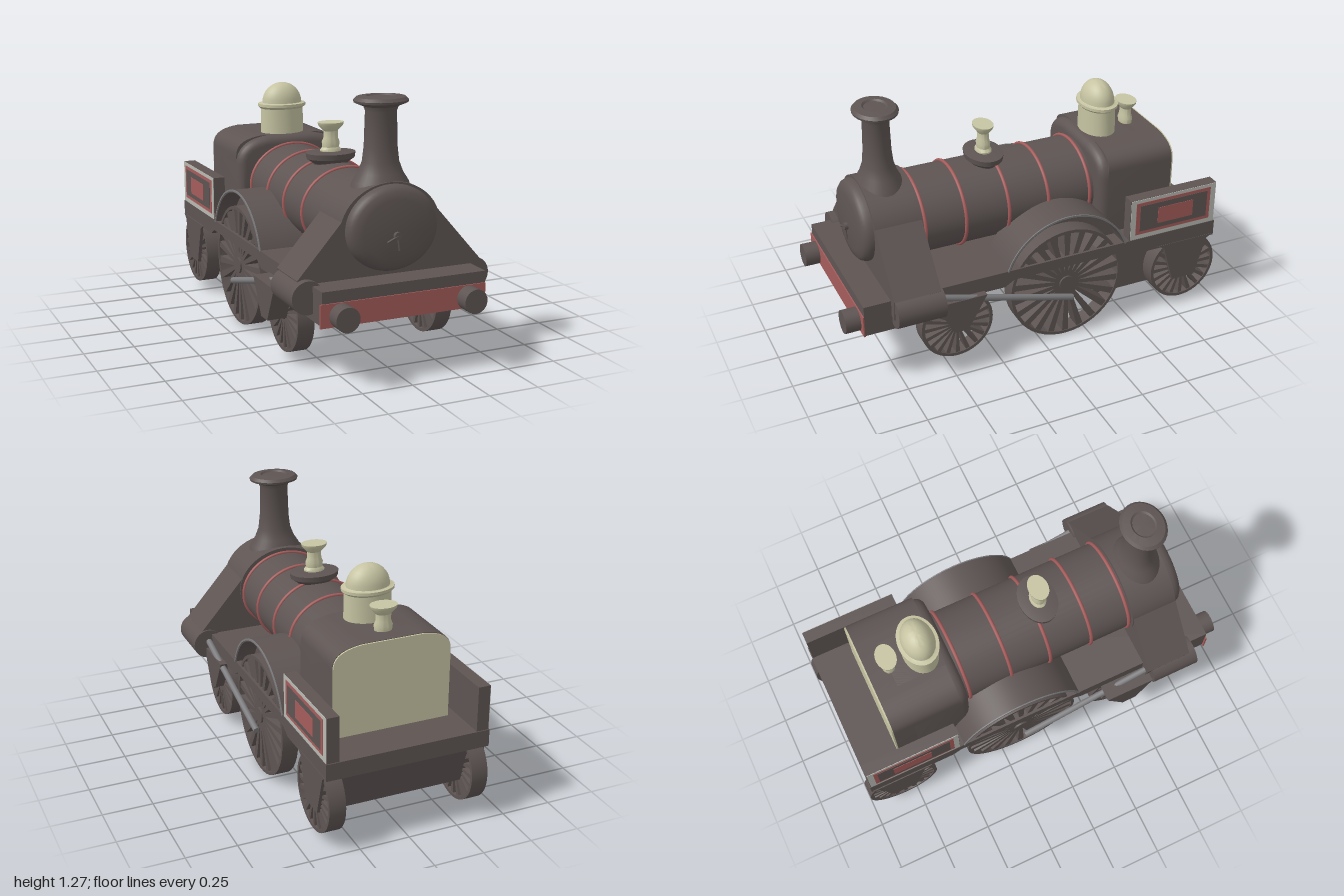
import * as THREE from 'three';
import { mergeGeometries, toCreasedNormals } from 'three/addons/utils/BufferGeometryUtils.js';

const material = (name, color) => new THREE.MeshStandardMaterial({ name, color });

export function createModel() {
  const model = new THREE.Group();
  model.name = 'steamLocomotive';
  const dark = material('darkIron', 0x5e5553);
  const red = material('dullRed', 0xa55c5b);
  const sage = material('paleBrass', 0xc6c4a2);
  const pale = material('paleGrey', 0xb9b9b3);
  const steel = material('steelGrey', 0x7c7b7d);
  const CX = -0.01;

  function add(name, geometry, mat, x = 0, y = 0, z = 0) {
    const mesh = new THREE.Mesh(geometry, mat);
    mesh.name = name;
    mesh.position.set(x, y, z);
    model.add(mesh);
    return mesh;
  }
  // box given by its limits on each axis
  function box(name, mat, x0, x1, y0, y1, z0, z1) {
    return add(name, new THREE.BoxGeometry(x1 - x0, y1 - y0, z1 - z0), mat,
      (x0 + x1) / 2, (y0 + y1) / 2, (z0 + z1) / 2);
  }
  const shapeOf = (pts) => new THREE.Shape(pts.map(([a, b]) => new THREE.Vector2(a, b)));
  // side profile in (z, y) swept across x
  function sweepX(name, mat, shape, x0, x1) {
    const g = new THREE.ExtrudeGeometry(shape, { depth: x1 - x0, bevelEnabled: false, curveSegments: 24 });
    g.rotateY(-Math.PI / 2);
    return add(name, toCreasedNormals(g, 0.5), mat, x1);
  }
  // turned part, widened across x
  function turned(name, mat, pts, z, wide) {
    const g = new THREE.LatheGeometry(pts.map(([r, y]) => new THREE.Vector2(r, y)), 32);
    g.scale(wide, 1, 1);
    return add(name, toCreasedNormals(g, 0.6), mat, CX, 0, z);
  }
  // turned part lying along z, oval in section; points are (radius, z)
  function barrel(name, mat, pts, y, rx, ry) {
    const g = new THREE.LatheGeometry(pts.map(([r, z]) => new THREE.Vector2(r, z)), 48);
    g.rotateX(Math.PI / 2);
    g.scale(rx, ry, 1);
    return add(name, toCreasedNormals(g, 0.6), mat, CX, y);
  }
  function rod(name, mat, a, b, r, sides = 12) {
    const from = new THREE.Vector3(...a), to = new THREE.Vector3(...b);
    const mesh = add(name, new THREE.CylinderGeometry(r, r, from.distanceTo(to), sides), mat);
    mesh.position.copy(from).lerp(to, 0.5);
    mesh.quaternion.setFromUnitVectors(new THREE.Vector3(0, 1, 0), to.sub(from).normalize());
    return mesh;
  }

  // running frame and front buffer beam
  sweepX('frame', dark, shapeOf([[0.92, 0.465], [0.92, 0.305], [0.66, 0.305], [0.58, 0.38], [0.2, 0.38],
    [0.15, 0.41], [-0.48, 0.41], [-0.53, 0.38], [-0.98, 0.38], [-0.98, 0.465]]), -0.41, 0.41);
  box('bufferBeamFace', red, -0.42, 0.41, 0.3, 0.41, 0.918, 0.926);
  for (const s of [-1, 1]) rod('buffer', dark, [s * 0.32, 0.35, 0.9], [s * 0.32, 0.35, 1], 0.058, 24);

  // axle guards and ash pan below the frame
  sweepX('frontAxleGuard', dark, shapeOf([[0.57, 0.39], [0.485, 0.215], [0.41, 0.215], [0.31, 0.39]]), -0.495, 0.445);
  sweepX('rearAxleGuard', dark, shapeOf([[-0.65, 0.39], [-0.69, 0.37], [-0.75, 0.165], [-0.88, 0.165],
    [-0.94, 0.37], [-0.97, 0.39]]), -0.415, 0.412);
  box('ashPan', dark, -0.275, 0.265, 0.088, 0.42, -0.75, -0.365);

  // spoked wheels
  function wheelGeometry(r, spokes, hub) {
    const width = 0.082, rimIn = r - 0.016;
    const rim = new THREE.LatheGeometry([[rimIn, -width / 2], [r, -width / 2], [r, width / 2],
      [rimIn, width / 2], [rimIn, -width / 2]].map((p) => new THREE.Vector2(...p)), 48);
    const centre = new THREE.CylinderGeometry(hub, hub, width + 0.01, 20);
    const parts = [rim, centre].map((g) => toCreasedNormals(g.rotateZ(Math.PI / 2), 0.6));
    for (let i = 0; i < spokes; i++) {
      const g = new THREE.BoxGeometry(width * 0.9, rimIn - hub + 0.012, 1);
      const p = g.attributes.position;
      for (let k = 0; k < p.count; k++) p.setZ(k, p.getZ(k) * r * (p.getY(k) > 0 ? 0.115 : 0.055));
      g.translate(0, (rimIn + hub) / 2, 0);
      g.rotateX((i / spokes) * Math.PI * 2);
      parts.push(g.toNonIndexed());
    }
    return mergeGeometries(parts);
  }
  const axles = [['leading', 0.45, 0.23, 0.186, 20, 0.03], ['driving', -0.14, 0.305, 0.304, 22, 0.04],
    ['trailing', -0.812, 0.23, 0.186, 20, 0.03]];
  for (const [name, z, y, r, n, hub] of axles) {
    const g = wheelGeometry(r, n, hub);
    for (const s of [-1, 1]) add(name + 'Wheel', g, dark, s * 0.361, y, z);
    rod(name + 'Axle', dark, [-0.36, y, z], [0.36, y, z], 0.025);
  }

  // open-sided splashers over the driving wheels
  const a0 = 0.33, arch = new THREE.Shape();
  arch.absarc(-0.14, 0.35, 0.342, a0, Math.PI - a0, false);
  arch.absarc(-0.14, 0.35, 0.33, Math.PI - a0, a0, true);
  const segment = new THREE.Shape();
  segment.absarc(-0.14, 0.35, 0.336, a0, Math.PI - a0, false);
  const edge = new THREE.Shape();
  edge.absarc(-0.14, 0.35, 0.344, a0, Math.PI - a0, false);
  edge.absarc(-0.14, 0.35, 0.335, Math.PI - a0, a0, true);
  for (const s of [-1, 1]) {
    const span = (a, b) => (s > 0 ? [a, b] : [-b, -a]);
    sweepX('splasherRoof', dark, arch, ...span(0.18, 0.408));
    sweepX('splasherBack', dark, segment, ...span(0.18, 0.31));
    sweepX('splasherEdge', steel, edge, ...span(0.406, 0.412));
  }

  // boiler with its bands
  barrel('boiler', dark, [[0, -0.4], [1, -0.4], [1, 0.56], [0, 0.56]], 0.667, 0.235, 0.202);
  for (const z of [0.53, 0.32, 0.093, -0.12, -0.347]) {
    const band = add('boilerBand', new THREE.TorusGeometry(0.237, 0.009, 8, 48), red, CX, 0.667, z);
    band.scale.set(1, 0.868, 1);
  }

  // smokebox, door and handle
  barrel('smokebox', dark, [[0, 0.545], [1, 0.545], [1, 0.785], [0, 0.785]], 0.68, 0.252, 0.212);
  barrel('smokeboxDoor', dark, [[1, 0.77], [1, 0.8], [0.96, 0.82], [0.88, 0.835], [0.7, 0.842], [0, 0.848]],
    0.684, 0.228, 0.2);
  rod('doorHandleHub', dark, [CX, 0.66, 0.84], [CX, 0.66, 0.865], 0.018);
  rod('doorHandle', dark, [CX, 0.66, 0.857], [0, 0.59, 0.857], 0.005, 6);
  rod('doorHandle', dark, [CX, 0.66, 0.862], [-0.065, 0.635, 0.862], 0.005, 6);

  // sloping saddle and the cylinders at its feet
  const saddle = new THREE.ExtrudeGeometry(shapeOf([[-0.45, 0.38], [0.45, 0.38], [0.46, 0.485], [0.205, 0.775],
    [-0.215, 0.775], [-0.47, 0.485]]), { depth: 0.235, bevelEnabled: false });
  add('smokeboxSaddle', saddle, dark, 0, 0, 0.55);
  rod('steamCylinder', dark, [0.432, 0.412, 0.54], [0.432, 0.412, 0.782], 0.078, 32);
  rod('steamCylinder', dark, [-0.432, 0.412, 0.57], [-0.432, 0.412, 0.82], 0.078, 32);
  rod('connectingRod', steel, [0.428, 0.43, 0.56], [0.428, 0.232, -0.16], 0.016);
  rod('connectingRod', steel, [-0.435, 0.43, 0.58], [-0.435, 0.232, -0.13], 0.016);

  // chimney
  turned('chimney', dark, [[0.125, 0.84], [0.112, 0.88], [0.09, 0.92], [0.074, 0.97], [0.067, 1.04], [0.063, 1.2],
    [0.07, 1.222], [0.108, 1.24], [0.11, 1.25], [0.098, 1.264], [0.06, 1.27], [0.052, 1.262], [0, 1.262]], 0.675, 1.18);

  // boiler-top valve on its dish
  turned('valveDish', dark, [[0.06, 0.82], [0.066, 0.86], [0.092, 0.885], [0.095, 0.912], [0.06, 0.918], [0, 0.918]], 0.13, 1.35);
  const flare = [[0.04, 0], [0.04, 0.012], [0.032, 0.025], [0.034, 0.05], [0.028, 0.07], [0.027, 0.105],
    [0.048, 0.135], [0.05, 0.148], [0, 0.148]];
  turned('valveStem', sage, flare.map(([r, y]) => [r, y + 0.913]), 0.13, 1.35);
  turned('whistle', sage, flare.map(([r, y]) => [r, y + 0.887]), -0.665, 1.35);

  // steam dome
  const cap = [];
  for (let i = 0; i <= 8; i++) {
    const t = (i / 8) * Math.PI / 2;
    cap.push([0.08 * Math.cos(t), 1.07 + 0.105 * Math.sin(t)]);
  }
  turned('steamDome', sage, [[0.088, 0.88], [0.086, 1.04], [0.097, 1.052], [0.097, 1.066], [0.082, 1.068], ...cap], -0.498, 1.34);

  // firebox casing: rounded shoulders, softened front end, pale back plate
  function casing(inset) {
    const w = 0.297 - inset, top = 0.912 - inset, s = new THREE.Shape();
    s.moveTo(-w, 0.44);
    s.lineTo(w, 0.44);
    s.lineTo(w, top - 0.1);
    s.bezierCurveTo(w, top - 0.03, w - 0.06, top - 0.01, w - 0.14, top);
    s.lineTo(-w + 0.14, top);
    s.bezierCurveTo(-w + 0.06, top - 0.01, -w, top - 0.03, -w, top - 0.1);
    return s;
  }
  const front = new THREE.ExtrudeGeometry(casing(0.04), { depth: 0.25, bevelThickness: 0.045, bevelSize: 0.04,
    bevelSegments: 5, curveSegments: 10 });
  add('fireboxFront', toCreasedNormals(front, 0.6), dark, CX + 0.004, 0, -0.665);
  const rear = new THREE.ExtrudeGeometry(casing(0), { depth: 0.355, bevelEnabled: false, curveSegments: 10 });
  add('firebox', toCreasedNormals(rear, 0.6), dark, CX + 0.004, 0, -0.772);
  const plate = new THREE.ExtrudeGeometry(casing(0.002), { depth: 0.008, bevelEnabled: false, curveSegments: 10 });
  add('fireboxBackPlate', plate, sage, CX + 0.004, 0, -0.78);

  // rear side bunkers with painted panels
  for (const s of [-1, 1]) {
    const side = (name, mat, x0, x1, ...rest) => box(name, mat, Math.min(s * x0, s * x1), Math.max(s * x0, s * x1), ...rest);
    side('sideBunker', dark, 0.345, 0.406, 0.46, 0.69, -0.975, -0.485);
    side('panelBorder', pale, 0.405, 0.409, 0.467, 0.689, -0.973, -0.487);
    side('panelFrame', red, 0.408, 0.411, 0.492, 0.672, -0.942, -0.515);
    side('panelField', dark, 0.41, 0.413, 0.51, 0.655, -0.922, -0.537);
    side('panelCentre', red, 0.412, 0.415, 0.535, 0.625, -0.84, -0.638);
  }
  return model;
}
